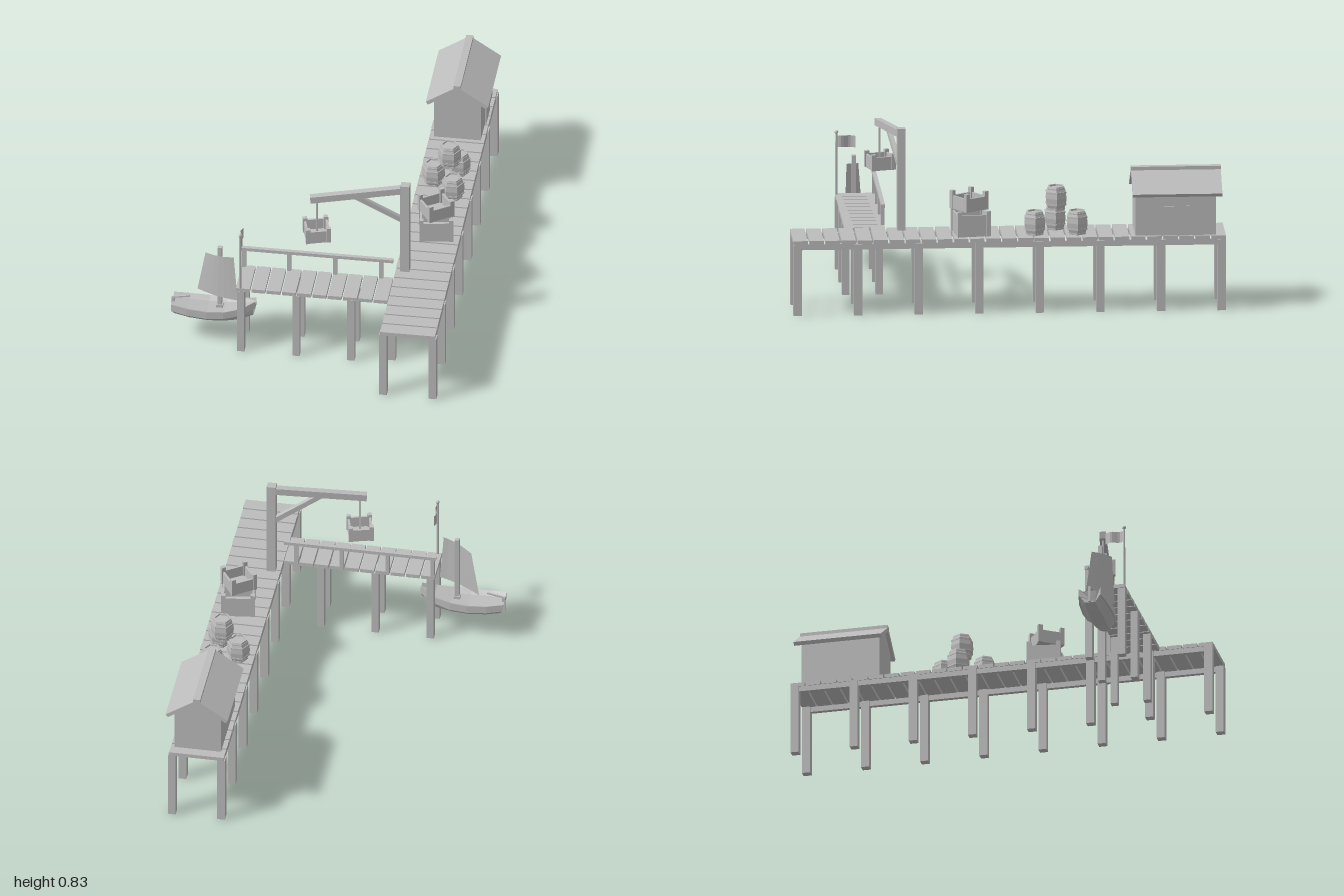
import * as THREE from 'three';

const wood = new THREE.MeshStandardMaterial({ color: 0xbcbcbc, flatShading: true });
wood.name = 'grey wood';
const cloth = wood.clone();
cloth.name = 'grey cloth';
cloth.side = THREE.DoubleSide;

const V = (x, y, z) => new THREE.Vector3(x, y, z);

function add(parent, name, geometry, material = wood) {
  const mesh = new THREE.Mesh(geometry, material);
  mesh.name = name;
  parent.add(mesh);
  return mesh;
}

// Box given by its centre and size
function box(parent, name, x, y, z, w, h, d) {
  const mesh = add(parent, name, new THREE.BoxGeometry(w, h, d));
  mesh.position.set(x, y, z);
  return mesh;
}

// Square timber running between two points
function beam(parent, name, a, b, w, h) {
  const mesh = add(parent, name, new THREE.BoxGeometry(w, h, a.distanceTo(b)));
  mesh.position.copy(a).lerp(b, 0.5);
  mesh.lookAt(b);
  return mesh;
}

function group(parent, name, x = 0, y = 0, z = 0, turn = 0) {
  const g = new THREE.Group();
  g.name = name;
  g.position.set(x, y, z);
  g.rotation.y = turn;
  parent.add(g);
  return g;
}

// Open crate with corner posts, standing on its origin
function crate(parent, name, x, y, z, turn, w, h, lift) {
  const g = group(parent, name, x, y, z, turn);
  const t = 0.01;
  box(g, 'crateFloor', 0, t / 2, 0, w, t, w);
  for (const s of [-1, 1]) {
    box(g, 'crateSide', s * (w - t) / 2, h / 2, 0, t, h, w);
    box(g, 'crateEnd', 0, h / 2, s * (w - t) / 2, w - 2 * t, h, t);
    for (const r of [-1, 1])
      box(g, 'cornerPost', s * (w - 0.014) / 2, (h + lift) / 2, r * (w - 0.014) / 2, 0.02, h + lift, 0.02);
  }
}

function barrel(parent, x, y, z) {
  const g = group(parent, 'barrel', x, y, z, Math.PI / 6);
  const profile = [[0, 0], [0.04, 0], [0.051, 0.03], [0.054, 0.055], [0.051, 0.08], [0.04, 0.11], [0.034, 0.11], [0.033, 0.1], [0, 0.1]];
  add(g, 'staves', new THREE.LatheGeometry(profile.map(p => new THREE.Vector2(...p)), 6));
  for (const [hy, r] of [[0.028, 0.053], [0.082, 0.053], [0.104, 0.045], [0.006, 0.045]]) {
    // thetaStart matches the facets of the staves
    const hoop = add(g, 'hoop', new THREE.CylinderGeometry(r, r, 0.008, 6, 1, false));
    hoop.position.y = hy;
    if (hy > 0.1) hoop.position.y = 0.098;
  }
}

function pier(root) {
  const g = group(root, 'mainPier');
  const n = 27, pitch = 2 / n;
  for (let i = 0; i < n; i++)
    box(g, 'plank', 0.4965, 0.343, -1 + pitch * (i + 0.5), 0.255, 0.018, pitch - 0.008);
  for (const x of [0.382, 0.612]) {
    box(g, 'stringer', x, 0.322, 0, 0.02, 0.026, 1.99);
    for (let i = 0; i < 8; i++) box(g, 'pile', x, 0.1675, 0.977 - 0.279 * i, 0.036, 0.335, 0.038);
  }

  const s = group(root, 'sidePier');
  for (let i = 0; i < 10; i++)
    box(s, 'plank', -0.34 + 0.071 * (i + 0.5), 0.343, 0.652, 0.064, 0.018, 0.187);
  for (const x of [-0.315, -0.058, 0.197])
    for (const z of [0.73, 0.575]) box(s, 'pile', x, 0.168, z, 0.034, 0.336, 0.034);
  // Handrail along the back edge
  box(s, 'handrail', 0.013, 0.452, 0.567, 0.71, 0.016, 0.018);
  for (const x of [-0.325, -0.115, 0.098, 0.312]) box(s, 'railPost', x, 0.397, 0.567, 0.018, 0.1, 0.016);
}

function hut(root) {
  const g = group(root, 'hut');
  const wall = new THREE.Shape([[0.39, 0.35], [0.607, 0.35], [0.607, 0.56], [0.4985, 0.633], [0.39, 0.56]].map(p => new THREE.Vector2(...p)));
  const walls = add(g, 'walls', new THREE.ExtrudeGeometry(wall, { depth: 0.37, bevelEnabled: false }));
  walls.position.z = -0.95;
  for (const s of [-1, 1]) {
    const a = V(0.4985, 0.639, -0.772), b = V(0.4985 + s * 0.14, 0.546, -0.772);
    beam(g, 'roofPanel', a, b, 0.413, 0.018);
  }
  box(g, 'ridgeCap', 0.4985, 0.641, -0.772, 0.033, 0.028, 0.413);
  box(g, 'door', 0.609, 0.42, -0.77, 0.009, 0.14, 0.118);
}

function crane(root) {
  const g = group(root, 'crane');
  box(g, 'cranePost', 0.412, 0.59, 0.487, 0.042, 0.48, 0.038);
  beam(g, 'craneArm', V(0.412, 0.803, 0.487), V(-0.018, 0.762, 0.568), 0.03, 0.033);
  beam(g, 'craneBrace', V(0.405, 0.63, 0.488), V(0.19, 0.77, 0.529), 0.02, 0.024);
  box(g, 'rope', 0.012, 0.655, 0.562, 0.008, 0.2, 0.008);
  crate(g, 'hangingCrate', 0.012, 0.55, 0.56, 0.28, 0.11, 0.062, 0.014);
}

function boat(root) {
  const g = group(root, 'boat');
  // Stations: x, half width, rim height, keel height, and end rake
  const stations = [[-0.645, 0.052, 0.2, 0.133], [-0.57, 0.066, 0.19, 0.121], [-0.48, 0.071, 0.185, 0.115],
    [-0.4, 0.066, 0.188, 0.118], [-0.32, 0.048, 0.203, 0.128], [-0.257, 0.016, 0.23, 0.15]];
  const pos = [], idx = [], n = 10;
  stations.forEach(([x, w, top, low]) => {
    const half = [[w, top], [w, top - 0.036], [w * 0.88, top - 0.037], [w * 0.45, low]];
    const ring = [...half, ...half.map(([z, y]) => [-z, y]).reverse(), [-w * 0.62, top - 0.015], [w * 0.62, top - 0.015]];
    for (const [z, y] of ring) {
      // Lower strakes tuck in at both ends
      const tuck = y < top - 0.0365 ? 0.94 : 1;
      pos.push(-0.45 + (x + 0.45) * tuck, y, 0.653 + z);
    }
  });
  for (let i = 0; i < stations.length - 1; i++)
    for (let j = 0; j < n; j++) {
      const a = i * n + j, b = i * n + (j + 1) % n;
      idx.push(a, b, b + n, a, b + n, a + n);
    }
  const end = (stations.length - 1) * n;
  for (let k = 1; k < n - 1; k++) {
    const p = (3 + k) % n, q = (4 + k) % n;
    idx.push(3, q, p, end + 3, end + p, end + q);
  }
  const hull = new THREE.BufferGeometry();
  hull.setAttribute('position', new THREE.Float32BufferAttribute(pos, 3));
  hull.setIndex(idx);
  const flat = hull.toNonIndexed();
  flat.computeVertexNormals();
  add(g, 'hull', flat);
  box(g, 'rudder', -0.642, 0.17, 0.653, 0.014, 0.075, 0.01);
  beam(g, 'tiller', V(-0.645, 0.206, 0.653), V(-0.565, 0.221, 0.653), 0.007, 0.007);
  box(g, 'mastStep', -0.425, 0.186, 0.653, 0.03, 0.014, 0.03);
  box(g, 'mast', -0.425, 0.345, 0.653, 0.02, 0.33, 0.02);

  // Sail: a tapered sheet, set at an angle and slightly bellied
  const sail = new THREE.PlaneGeometry(1, 1, 6, 4);
  const p = sail.attributes.position;
  for (let i = 0; i < p.count; i++) {
    const u = p.getX(i) + 0.5, v = p.getY(i) + 0.5;
    const x = THREE.MathUtils.lerp(-0.535 + 0.2 * u, -0.495 + 0.14 * u, v);
    const y = THREE.MathUtils.lerp(0.235 + 0.015 * u, 0.455 + 0.03 * u, v);
    p.setXYZ(i, x, y, 0.655 + (x + 0.435) * 0.45 + 0.012 * Math.sin(Math.PI * u));
  }
  sail.computeVertexNormals();
  add(g, 'sail', sail, cloth);
}

function flag(root) {
  const g = group(root, 'flag', -0.318, 0, 0.74);
  const pole = add(g, 'flagPole', new THREE.CylinderGeometry(0.005, 0.006, 0.295, 8));
  pole.position.y = 0.495;
  const knob = add(g, 'poleKnob', new THREE.SphereGeometry(0.009, 8, 6));
  knob.position.y = 0.645;
  const sheet = new THREE.PlaneGeometry(0.088, 0.055, 8, 1);
  const p = sheet.attributes.position;
  for (let i = 0; i < p.count; i++) {
    const t = p.getX(i) + 0.044;
    p.setXYZ(i, 0.007 * Math.sin(t * 75), 0.603 + p.getY(i) - 0.05 * t, -t);
  }
  sheet.computeVertexNormals();
  add(g, 'flagCloth', sheet, cloth);
}

export function createModel() {
  const root = new THREE.Group();
  root.name = 'dock';
  pier(root);
  hut(root);
  crane(root);
  boat(root);
  flag(root);
  crate(root, 'lowerCrate', 0.51, 0.352, 0.172, 0.15, 0.15, 0.1, 0.018);
  crate(root, 'upperCrate', 0.51, 0.468, 0.18, 0.6, 0.122, 0.062, 0.024);
  for (const [x, y, z] of [[0.545, 0.352, -0.315], [0.44, 0.352, -0.22], [0.545, 0.352, -0.12], [0.515, 0.462, -0.22]])
    barrel(root, x, y, z);
  return root;
}
